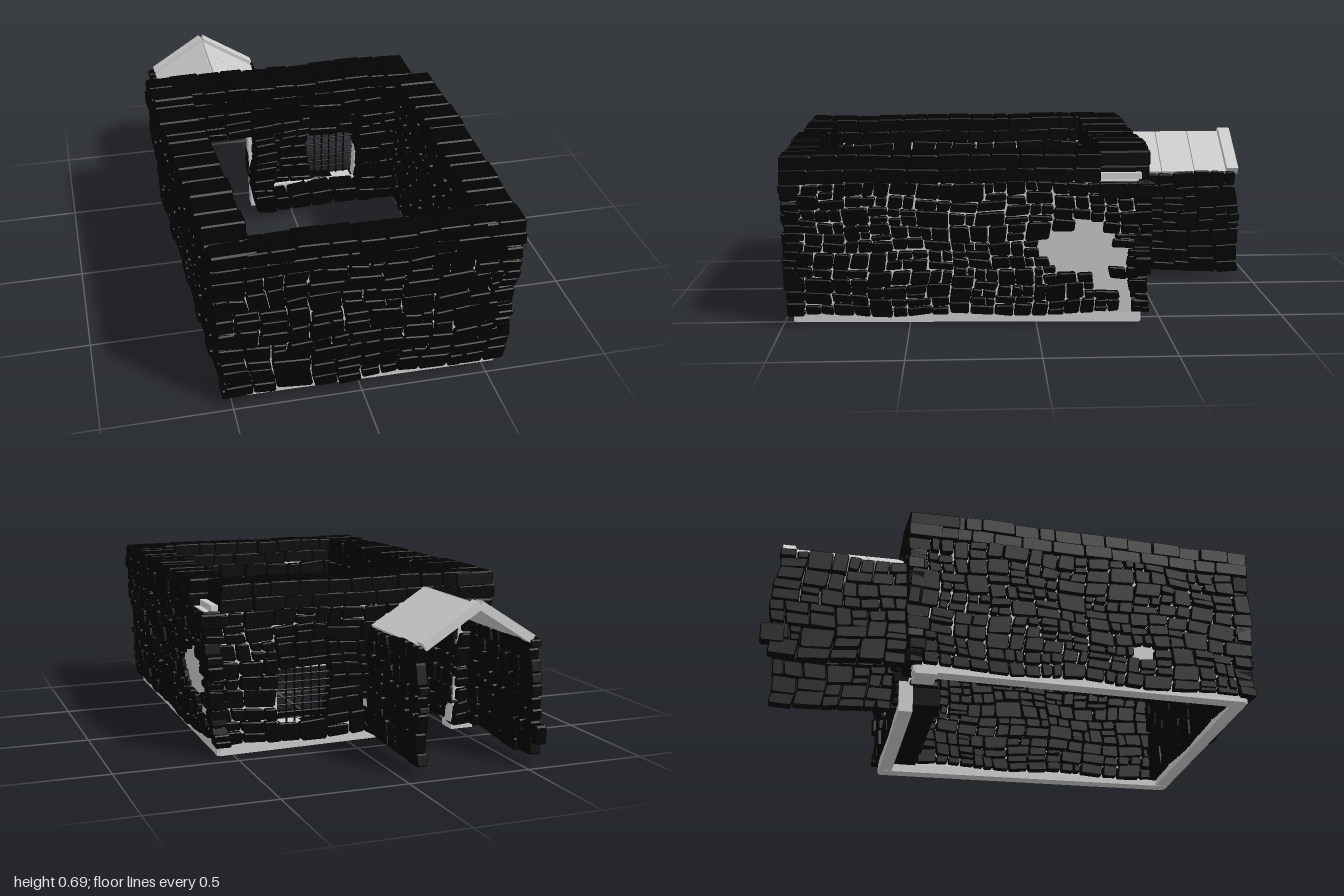
import * as THREE from 'three';
import { mergeGeometries } from 'three/addons/utils/BufferGeometryUtils.js';

const stoneMat = new THREE.MeshStandardMaterial({ color: 0x030303, flatShading: true });
const greyMat = new THREE.MeshStandardMaterial({ color: 0xcccccc, flatShading: true });
const BASE = 0.04, TOP = 0.58;
const { lerp, clamp } = THREE.MathUtils;

let seed = 7;
const rnd = () => (seed = (seed * 16807) % 2147483647) / 2147483647;
const jit = a => (rnd() * 2 - 1) * a;

// Wall face: maps flat coordinates (along, height, outward) onto a leaning wall.
// Corners are [x, z] at the foot (a0, b0) and at the top (a1, b1).
function face(a0, b0, a1 = a0, b1 = b0) {
  const dx = b0[0] - a0[0], dz = b0[1] - a0[1], L = Math.hypot(dx, dz);
  const n = [-dz / L, dx / L];
  const map = geo => {
    const p = geo.attributes.position;
    for (let i = 0; i < p.count; i++) {
      const s = p.getX(i) / L, y = p.getY(i), w = p.getZ(i);
      const t = clamp((y - BASE) / (TOP - BASE), 0, 1);
      const at = k => lerp(lerp(a0[k], b0[k], s), lerp(a1[k], b1[k], s), t) + n[k] * w;
      p.setXYZ(i, at(0), y, at(1));
    }
    geo.computeVertexNormals();
    return geo;
  };
  return { L, map };
}

// One rough stone: a quad with cut corners, extruded with a small bevel
function stone(u0, u1, v0, v1, depth, wobble) {
  const g = 0.006, b = 0.004;
  const bend = (u, v) => new THREE.Vector2(
    u + wobble * Math.sin(19 * v + 5 * u) + jit(wobble * 0.35),
    v + wobble * Math.sin(11 * u + 7 * v) * 0.8 + jit(wobble * 0.35));
  const c = [[u0 + g, v0 + g], [u1 - g, v0 + g], [u1 - g, v1 - g], [u0 + g, v1 - g]].map(p => bend(...p));
  const cut = Math.min(u1 - u0, v1 - v0) * 0.07, pts = [];
  c.forEach((p, i) => [c[(i + 3) % 4], c[(i + 1) % 4]].forEach(q => {
    const d = q.clone().sub(p);
    pts.push(p.clone().addScaledVector(d.normalize(), cut));
  }));
  const geo = new THREE.ExtrudeGeometry(new THREE.Shape(pts), {
    depth: depth - 2 * b, bevelEnabled: true, bevelSize: b, bevelThickness: b, bevelSegments: 1 });
  return geo.translate(0, 0, b - depth + jit(0.008));
}

// Random masonry: split a rectangle until the pieces are stone sized
function masonry(f, rects, size, depth, skip = () => false) {
  const out = [];
  const split = (u0, u1, v0, v1) => {
    const w = u1 - u0, h = v1 - v0, k = size * (0.75 + rnd() * 0.6);
    if (w > k * 1.5 || h > k) {
      const r = 0.36 + rnd() * 0.28;
      if (w > h * 1.5) { split(u0, u0 + w * r, v0, v1); split(u0 + w * r, u1, v0, v1); }
      else { split(u0, u1, v0, v0 + h * r); split(u0, u1, v0 + h * r, v1); }
    } else if (!skip((u0 + u1) / 2, (v0 + v1) / 2)) {
      out.push(f.map(stone(u0, u1, v0, v1, depth, 0.009)));
    }
  };
  rects.forEach(r => split(...r));
  return out;
}

// Course of blocks across the full wall thickness
function course(f, u0, u1, v0, v1, depth, len = 0.1) {
  const out = [], n = Math.round((u1 - u0) / len), w = (u1 - u0) / n;
  let u = u0;
  for (let i = 0; i < n; i++) {
    const e = i === n - 1 ? u1 : u0 + w * (i + 1) + jit(w * 0.18);
    out.push(f.map(stone(u - 0.002, e + 0.002, v0 - 0.004, v1 + 0.004 + jit(0.002), depth, 0.003)));
    u = e;
  }
  return out;
}

const slab = (u0, u1, v0, v1, w0, w1) => new THREE.BoxGeometry(u1 - u0, v1 - v0, w1 - w0)
  .translate((u0 + u1) / 2, (v0 + v1) / 2, (w0 + w1) / 2);

export function createModel() {
  seed = 7;
  const root = new THREE.Group();
  const add = (name, geos, mat, parent = root) => {
    const m = new THREE.Mesh(mergeGeometries(geos), mat);
    m.name = name;
    parent.add(m);
  };

  // Wall corners in order: front left of the plan, front right, back right, back left
  const foot = [[-0.535, 0.98], [0.575, 0.98], [0.585, -0.44], [-0.59, -0.44]];
  const head = [[-0.56, 0.985], [0.61, 0.985], [0.625, -0.45], [-0.63, -0.45]];
  const inner = [[-0.39, 0.86], [0.46, 0.86], [0.47, -0.25], [-0.45, -0.25]];
  const ground = [0.025, 0.015, 0, 0.02]; // underside of the plinth at each corner

  // Rectangles left around the doorway and window (splayed inward) of the back wall
  const DOOR = [-0.46, -0.18, 0.45], WIN = [0.1, 0.31, 0.125, 0.34], SPLAY = [-0.08, 0.31, 0.115, 0.51];
  const around = (toU, x0, x1, y0, y1, [wl, wr, wb, wt]) => {
    const [dl, dr, dt] = DOOR;
    return [[x0, dl, y0, y1], [Math.max(x0, dl), dr, dt, y1], [dr, wl, y0, y1],
      [wl, wr, y0, wb], [wl, wr, wt, y1], [wr, x1, y0, y1]]
      .filter(r => r[1] - r[0] > 0.02)
      .map(([a, b, c, d]) => [...[toU(a), toU(b)].sort((p, q) => p - q), c, d]);
  };

  // Bare patch in the right wall where the core shows
  const bare = (u, v) => {
    const z = 0.98 - u;
    return ((z + 0.18) / 0.155) ** 2 + ((v - 0.3) / 0.11) ** 2 < 1
      || (((z + 0.31) / 0.07) ** 2 + ((v - 0.13) / 0.09) ** 2 < 1 && rnd() < 0.65);
  };
  const chance = () => rnd() < 0.004;

  const walls = [
    { name: 'frontWall', size: 0.085, thick: 0.125, inDepth: 0.05 },
    { name: 'rightWall', size: 0.064, thick: 0.155, inDepth: 0.06, skip: bare },
    { name: 'backWall', size: 0.075, thick: 0.2, inDepth: 0.12 },
    { name: 'leftWall', size: 0.068, thick: 0.17, inDepth: 0.06 },
  ];
  walls.forEach((w, i) => {
    const j = (i + 1) % 4, back = i === 2;
    const g = new THREE.Group();
    g.name = w.name;
    root.add(g);
    const out = face(foot[i], foot[j], head[i], head[j]);
    const inn = face(inner[j], inner[i]);
    const outU = x => foot[2][0] - x, inU = x => x - inner[3][0];

    // Stone facing, outside and inside; the inside runs on behind the corners
    const outRects = back ? around(outU, foot[3][0], foot[2][0], BASE, TOP, WIN) : [[0, out.L, BASE, TOP]];
    const inRects = back ? around(inU, inner[3][0], inner[2][0] + 0.06, BASE, TOP, SPLAY)
      : [[-0.06, inn.L + (i === 3 ? 0.17 : 0.06), BASE, TOP]];
    add('outerStones', masonry(out, outRects, w.size, 0.065, w.skip || chance), stoneMat, g);
    add('innerStones', masonry(inn, inRects, w.size * 1.1, w.inDepth), stoneMat, g);

    // Two courses of capping blocks, stopping short of the broken back corner
    const start = back ? 0.07 : 0, end = i === 1 ? out.L - 0.2 : out.L;
    add('capStones', [
      ...course(out, start, end, 0.58, 0.632, w.thick, 0.12),
      ...course(out, start, end, 0.632, 0.687, w.thick)], stoneMat, g);

    // Plain core, with a plinth that follows the sloping ground
    const coreRects = back ? around(outU, foot[3][0] + 0.03, foot[2][0] - 0.03, BASE, TOP, SPLAY)
      : [[0.03, out.L - 0.03, BASE, TOP]];
    add('core', coreRects.map(([a, b, c, d]) => out.map(slab(a, b, c, d, -0.08, -0.022))), greyMat, g);
    const plinth = slab(0.03, back ? outU(DOOR[1]) : out.L - 0.03, 0, BASE, -0.08, -0.022);
    const p = plinth.attributes.position;
    for (let k = 0; k < p.count; k++) {
      if (p.getY(k) < 0.01) p.setY(k, lerp(ground[i], ground[j], p.getX(k) / out.L));
    }
    add('plinth', [out.map(plinth)], greyMat, g);
  });

  // Broken back corner: a loose plank beside projecting stones
  add('cornerPlank', [slab(0.5, 0.578, 0.578, 0.605, -0.41, -0.24)], greyMat);
  const corner = face([0.632, -0.24], [0.632, -0.455]);
  add('cornerStones', course(corner, 0, corner.L, 0.52, 0.577, 0.1), stoneMat);

  // Window grating
  const bars = [];
  const bar = (len, horizontal, x, y) => {
    const b = new THREE.CylinderGeometry(0.004, 0.004, len, 6);
    if (horizontal) b.rotateZ(Math.PI / 2);
    bars.push(b.translate(x, y, -0.415));
  };
  const [wl, wr, wb, wt] = WIN;
  for (let k = 1; k <= 5; k++) bar(wt - wb + 0.03, false, lerp(wl, wr, k / 6), (wb + wt) / 2);
  for (let k = 1; k <= 6; k++) bar(wr - wl + 0.03, true, (wl + wr) / 2, lerp(wb, wt, k / 7));
  add('windowGrating', bars, stoneMat);

  // Porch side walls, one stone thick, the ends leaning back slightly
  [[-0.525, -0.96], [-0.06, -0.935]].forEach(([x, zEnd], i) => {
    const f = face([x, -0.43], [x, zEnd - 0.01], [x, -0.43], [x, zEnd + 0.015]);
    add(i ? 'porchRightWall' : 'porchLeftWall', [
      ...masonry(f, [[0, f.L, BASE, 0.49]], 0.08, 0.045),
      ...(i ? [] : course(f, f.L - 0.06, f.L + 0.03, 0.09, 0.16, 0.045, 0.09))], stoneMat);
  });

  // Porch roof: sloping slabs on both sides of the ridge and a raised rim at the end
  const roof = [];
  const zs = [-0.44, -0.592, -0.738, -0.88, -0.935];
  const ridge = -0.312, half = 0.228, slope = Math.atan2(0.145, half), run = Math.hypot(0.145, half);
  for (const s of [-1, 1]) {
    for (let k = 0; k < 4; k++) {
      const rim = k === 3, len = zs[k] - zs[k + 1] - 0.004;
      const b = new THREE.BoxGeometry(run, rim ? 0.035 : 0.018, len);
      b.rotateZ(-s * slope);
      roof.push(b.translate(ridge + s * half / 2, rim ? 0.565 : 0.558, (zs[k] + zs[k + 1]) / 2));
    }
  }
  add('porchRoof', roof, greyMat);

  // Footing pad beside the doorway
  add('doorFooting', [slab(-0.57, -0.47, 0.01, 0.045, -0.405, -0.32)], greyMat);
  return root;
}
